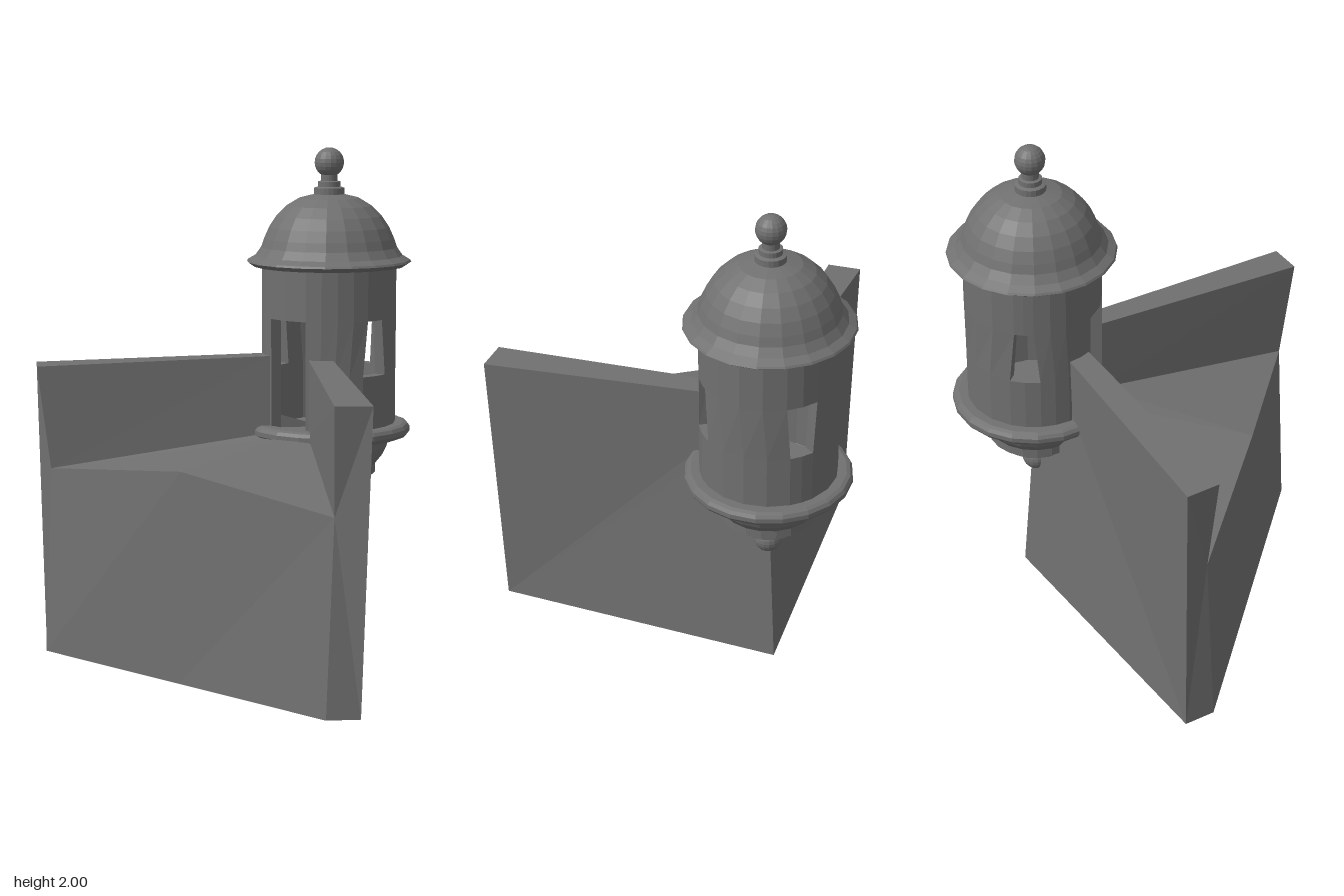
import * as THREE from 'three';

const CX = 0.29; // tower axis
const SIDES = 20;
const stone = new THREE.MeshStandardMaterial({ color: 0x707070, flatShading: true });
const thinStone = new THREE.MeshStandardMaterial({ color: 0x707070, flatShading: true, side: THREE.DoubleSide });

// Geometry from polygons, each a list of [x, y, z] corners
function fromPolygons(polygons) {
  const pos = [];
  for (const p of polygons)
    for (let i = 1; i < p.length - 1; i++) pos.push(...p[0], ...p[i], ...p[i + 1]);
  const g = new THREE.BufferGeometry();
  g.setAttribute('position', new THREE.Float32BufferAttribute(pos, 3));
  g.computeVertexNormals();
  return g;
}

function addMesh(group, name, geometry, material = stone) {
  const m = new THREE.Mesh(geometry, material);
  m.name = name;
  group.add(m);
  return m;
}

const lathe = (points) => new THREE.LatheGeometry(points.map(([r, y]) => new THREE.Vector2(r, y)), SIDES);

// Wedge-shaped bastion corner with two sloping parapets, cut where they meet the tower
function bastionGeometry() {
  const nose = [0.35, 0, 0], noseTop = [0.284, 0.87, 0];
  const footOut = [-0.53, 0, 0.81], footIn = [-0.62, 0, 0.72], footMid = [-0.62, 0, 0];
  const topOut = [-0.52, 1.15, 0.85], topIn = [-0.615, 1.15, 0.75];
  const towerOut = [0.1, 1.18, 0.174], towerIn = [0.04, 1.18, 0.1];
  const towerMid = [0.097, 0.945, 0.167], towerLow = [0.095, 0.87, 0.174];
  const floorBack = [-0.575, 0.74, 0.72], floorMid = [-0.6, 0.82, 0];
  const floorTower = [0.04, 0.87, 0.1], floorAxis = [0.04, 0.87, 0];
  const half = [
    [footOut, nose, noseTop, towerLow, towerMid], // outer wall, lower half
    [footOut, towerMid, towerOut, topOut], // outer wall, upper half
    [topOut, towerOut, towerIn, topIn], // parapet top
    [floorTower, floorBack, topIn, towerIn], // parapet inside
    [footIn, footOut, floorBack], [footOut, topOut, floorBack], [topOut, topIn, floorBack], // end
    [footMid, footIn, floorBack, floorMid], // back wall
    [floorMid, floorBack, floorTower, floorAxis], // floor
    [floorTower, towerIn, towerOut, towerMid, towerLow], // parapet end at the tower
    [floorAxis, floorTower, towerLow, noseTop], // cap under the tower
    [nose, footOut, footIn, footMid], // underside
  ];
  const mirrored = half.map((p) => p.map(([x, y, z]) => [x, y, -z]).reverse());
  return fromPolygons([...half, ...mirrored]);
}

// Hollow round wall with three tapered windows and a doorway at the back
function towerWallGeometry() {
  const R = 0.27, r = 0.225;
  const levels = [0.86, 1.11, 1.33, 1.55];
  const side = 1.72;
  // half widths given at the window sill and at the head
  const openings = [
    { at: 0, sill: 0.048, head: 0.064, rows: [1] },
    { at: side, sill: 0.06, head: 0.038, rows: [1] },
    { at: Math.PI, sill: 0.09, head: 0.09, rows: [0, 1] },
    { at: 2 * Math.PI - side, sill: 0.06, head: 0.038, rows: [1] },
  ];
  const edge = (o, level, sign) => o.at + sign * (level < 2 ? o.sill : o.head) / R;
  const point = (rad, a, y) => [CX + rad * Math.cos(a), y, rad * Math.sin(a)];
  const polys = [];
  // Curved patch between two angles, which may differ at its bottom and top
  const patch = (a0, b0, a1, b1, y0, y1, n) => {
    for (let i = 0; i < n; i++) {
      const s = i / n, t = (i + 1) / n, mix = THREE.MathUtils.lerp;
      const angles = [[mix(a0, b0, t), y0], [mix(a0, b0, s), y0], [mix(a1, b1, s), y1], [mix(a1, b1, t), y1]];
      polys.push(angles.map(([a, y]) => point(R, a, y)));
      polys.push(angles.map(([a, y]) => point(r, a, y)).reverse());
    }
  };
  openings.forEach((o, k) => {
    const next = openings[(k + 1) % 4], turn = k === 3 ? 2 * Math.PI : 0;
    for (let row = 0; row < 3; row++) {
      const y0 = levels[row], y1 = levels[row + 1];
      patch(edge(o, row, 1), edge(next, row, -1) + turn,
        edge(o, row + 1, 1), edge(next, row + 1, -1) + turn, y0, y1, 4);
      if (!o.rows.includes(row)) {
        patch(edge(o, row, -1), edge(o, row, 1), edge(o, row + 1, -1), edge(o, row + 1, 1), y0, y1, 2);
        continue;
      }
      for (const s of [-1, 1]) { // jambs
        const a = edge(o, row, s), b = edge(o, row + 1, s);
        polys.push([point(R, a, y0), point(r, a, y0), point(r, b, y1), point(R, b, y1)]);
      }
    }
    for (const level of [1, 2]) { // sill and head
      if (level === 1 && o.rows.includes(0)) continue;
      const a = [edge(o, level, -1), o.at, edge(o, level, 1)], y = levels[level];
      for (let i = 0; i < 2; i++)
        polys.push([point(R, a[i], y), point(R, a[i + 1], y), point(r, a[i + 1], y), point(r, a[i], y)]);
    }
  });
  return fromPolygons(polys);
}

export function createModel() {
  const model = new THREE.Group();
  model.name = 'bastionWithSentryTower';

  addMesh(model, 'bastion', bastionGeometry(), thinStone);
  addMesh(model, 'towerWall', towerWallGeometry(), thinStone);

  // Stepped corbel, bowl, rounded ring moulding and tower floor
  const base = addMesh(model, 'towerBase', lathe([
    [0, 0.61], [0.07, 0.615], [0.1, 0.62], [0.1, 0.65], [0.145, 0.65], [0.145, 0.69], [0.19, 0.69],
    [0.19, 0.725], [0.218, 0.76], [0.237, 0.8], [0.245, 0.843], [0.305, 0.843], [0.32, 0.849],
    [0.329, 0.862], [0.329, 0.88], [0.32, 0.893], [0.305, 0.899], [0.26, 0.899], [0.225, 0.875], [0, 0.875],
  ]));
  base.position.x = CX;

  // Bell-shaped dome with a stepped neck
  const dome = addMesh(model, 'dome', lathe([
    [0, 1.54], [0.26, 1.53], [0.305, 1.53], [0.33, 1.547], [0.325, 1.555], [0.295, 1.572], [0.272, 1.605],
    [0.26, 1.64], [0.24, 1.685], [0.21, 1.73], [0.17, 1.77], [0.12, 1.8], [0.06, 1.815],
    [0.06, 1.84], [0.045, 1.845], [0.045, 1.865], [0.033, 1.868], [0.033, 1.895], [0, 1.895],
  ]));
  dome.position.x = CX;

  // Ball finials above and below
  for (const [name, y, radius] of [['topFinial', 1.941, 0.059], ['bottomFinial', 0.56, 0.057]]) {
    const ball = addMesh(model, name, new THREE.SphereGeometry(radius, 16, 12));
    ball.position.set(CX, y, 0);
  }
  return model;
}
